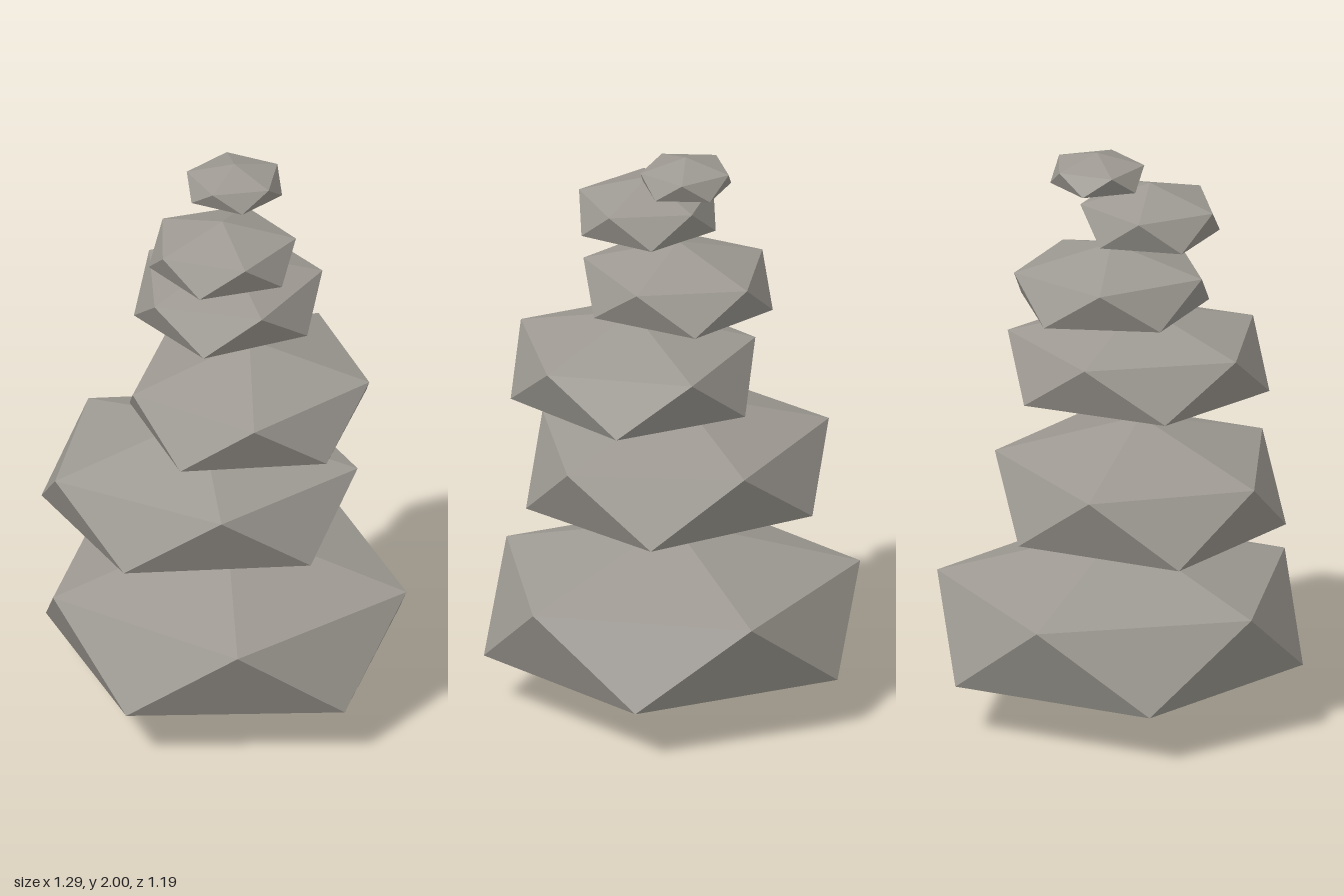
import * as THREE from 'three';

const STEP = (Math.PI * 2) / 5;
const rad = THREE.MathUtils.degToRad;

// Squashed icosahedron: two poles and two staggered pentagon rings.
// x and z are [centre, ring radius, turn in degrees]; y holds the two ring heights.
function stoneGeometry({ x, z, y }) {
  const mid = (y[0] + y[1]) / 2;
  const half = ((y[1] - y[0]) / 2) * Math.sqrt(5);
  const ring = (k, level) => {
    const a = (k + level / 2) * STEP;
    return [
      x[0] + x[1] * Math.cos(a + rad(x[2])),
      y[level],
      z[0] + z[1] * Math.sin(a + rad(z[2])),
    ];
  };
  const top = [x[0], mid + half, z[0]];
  const bottom = [x[0], mid - half, z[0]];
  const points = [];
  for (let k = 0; k < 5; k++) {
    const l0 = ring(k, 0), l1 = ring(k + 1, 0);
    const u0 = ring(k, 1), u1 = ring(k + 1, 1);
    points.push(
      bottom, l0, l1,
      l0, u0, l1,
      u0, u1, l1,
      u1, u0, top,
    );
  }
  const geometry = new THREE.BufferGeometry();
  geometry.setAttribute('position', new THREE.Float32BufferAttribute(points.flat(), 3));
  geometry.computeVertexNormals(); // unshared corners give flat facets
  return geometry;
}

export function createModel() {
  const group = new THREE.Group();
  group.name = 'stackedStones';

  const stoneGrey = new THREE.MeshStandardMaterial({ color: 0x9d9992, flatShading: true });
  stoneGrey.name = 'stoneGrey';

  // Stones from the ground up
  const stones = [
    { name: 'baseStone', x: [0, 0.645, 0], z: [0, 0.626, 0], y: [0.18, 0.465] },
    { name: 'secondStone', x: [-0.03, 0.527, -1], z: [0.092, 0.516, -7], y: [0.7, 0.93] },
    { name: 'thirdStone', x: [0.133, 0.42, -3], z: [0.005, 0.444, 0], y: [1.115, 1.3] },
    { name: 'fourthStone', x: [-0.018, 0.323, -21], z: [-0.023, 0.334, -18], y: [1.45, 1.59] },
    { name: 'fifthStone', x: [0.075, 0.242, -14], z: [0.077, 0.246, -17], y: [1.7, 1.81] },
    { name: 'topStone', x: [-0.039, 0.159, -42], z: [-0.067, 0.163, -44], y: [1.89, 1.958] },
  ];
  for (const stone of stones) {
    const mesh = new THREE.Mesh(stoneGeometry(stone), stoneGrey);
    mesh.name = stone.name;
    group.add(mesh);
  }
  return group;
}
